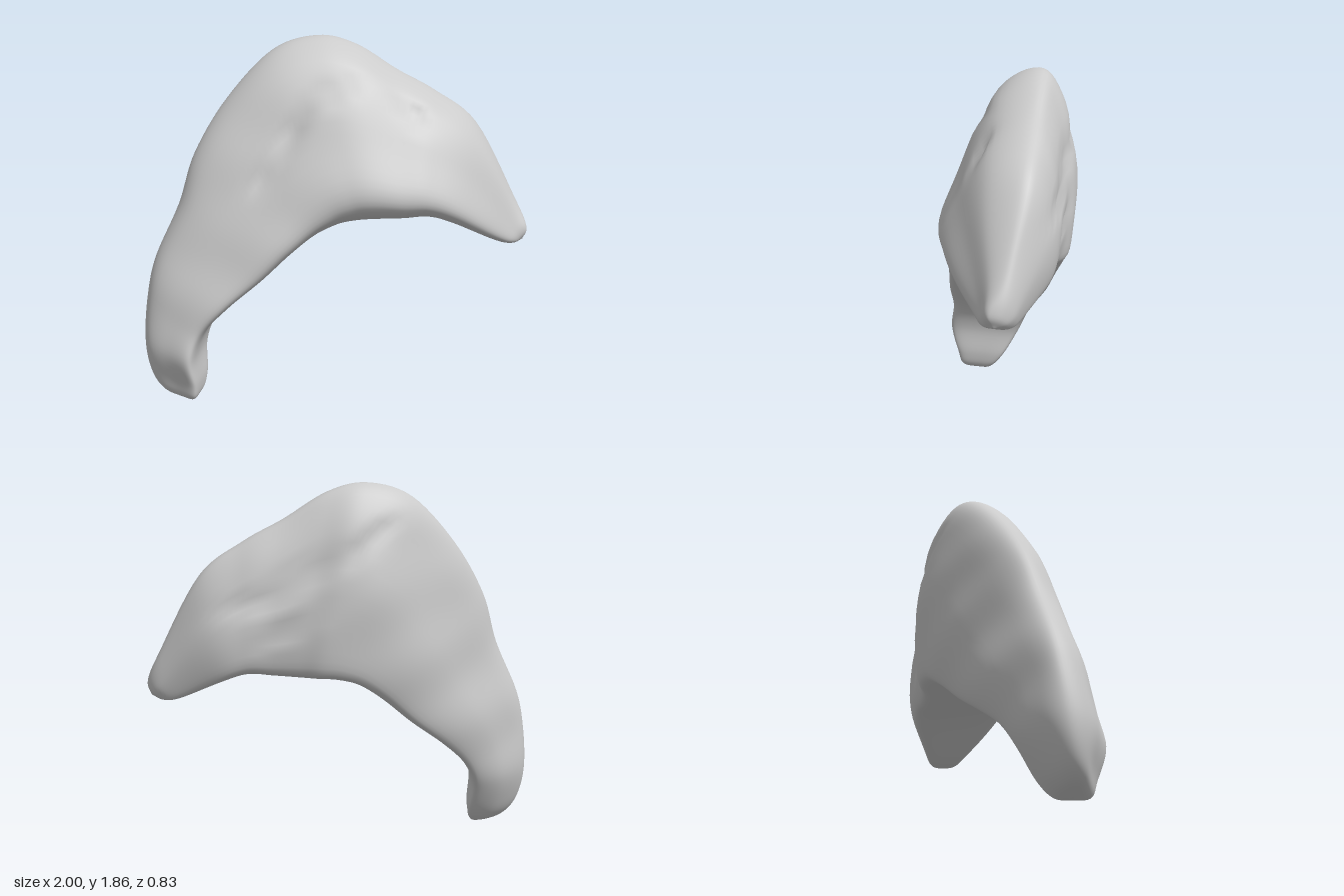
import * as THREE from 'three';
import { mergeVertices } from 'three/addons/utils/BufferGeometryUtils.js';

// Stations along the crescent, from the low tip over the crown to the high tip:
// outer x, y | inner x, y | z of the ridge, the front face, the back face |
// how far the back face slants forward towards the ridge
const STATIONS = [
  [-0.78, 0.00, -0.78, 0.00, 0.25, 0.25, 0.25, 0],
  [-0.90, 0.05, -0.71, 0.02, 0.25, 0.345, 0.17, 0],
  [-0.97, 0.15, -0.69, 0.10, 0.23, 0.375, 0.09, 0.02],
  [-1.00, 0.32, -0.70, 0.25, 0.20, 0.42, 0.00, 0.06],
  [-0.985, 0.55, -0.65, 0.38, 0.17, 0.40, -0.08, 0.13],
  [-0.94, 0.75, -0.52, 0.51, 0.14, 0.39, -0.18, 0.18],
  [-0.82, 1.02, -0.35, 0.64, 0.09, 0.36, -0.27, 0.20],
  [-0.74, 1.28, -0.20, 0.77, 0.03, 0.33, -0.35, 0.20],
  [-0.58, 1.55, -0.08, 0.85, -0.06, 0.30, -0.39, 0.14],
  [-0.35, 1.79, 0.03, 0.88, -0.15, 0.28, -0.41, 0.04],
  [-0.12, 1.86, 0.12, 0.885, -0.20, 0.27, -0.41, 0],
  [0.08, 1.815, 0.22, 0.89, -0.22, 0.26, -0.39, 0],
  [0.30, 1.68, 0.35, 0.90, -0.23, 0.23, -0.39, 0],
  [0.50, 1.57, 0.48, 0.91, -0.24, 0.19, -0.40, 0],
  [0.72, 1.40, 0.61, 0.87, -0.25, 0.12, -0.38, 0],
  [0.93, 1.01, 0.82, 0.78, -0.21, -0.04, -0.29, 0],
  [0.998, 0.86, 0.91, 0.765, -0.16, -0.10, -0.24, 0],
  [0.98, 0.785, 0.98, 0.785, -0.17, -0.17, -0.17, 0],
];

// Cross-section: position from ridge (0) to inner edge (1), then
// weights of the front and back z (the rest follows the ridge)
const SECTION = [
  [0, 0, 0], [0.11, 0.45, 0], [0.45, 0.78, 0], [0.74, 1, 0], [0.89, 0.88, 0.12],
  [0.97, 0.5, 0.5], [1, 0.15, 0.85], [0.9, 0.02, 0.98], [0.5, 0, 1], [0.13, 0, 0.58],
];

// Shallow grooves on the front and back: x, y, angle, length, width, depth, side
const GROOVES = [
  [-0.22, 1.40, 1.0, 0.16, 0.04, 0.04, 1],
  [-0.36, 1.18, 0.6, 0.10, 0.04, 0.025, 1],
  [0.02, 1.62, 0.2, 0.13, 0.035, 0.025, 1],
  [0.38, 1.50, -0.75, 0.11, 0.035, 0.04, 1],
  [0.10, 1.45, -0.3, 0.22, 0.03, 0.03, -1],
  [0.42, 1.28, -0.25, 0.20, 0.03, 0.03, -1],
  [0.25, 1.15, -0.4, 0.18, 0.03, 0.025, -1],
  [-0.15, 1.60, -0.5, 0.12, 0.04, 0.02, -1],
];

const spline = (points, closed = false) =>
  new THREE.CatmullRomCurve3(points.map((p) => new THREE.Vector3(...p)), closed, 'catmullrom', 0.5);

// Depth of the surface relief at a point
function relief(x, y, side) {
  let d = 0.006 * Math.sin(9 * x + 5 * y) * Math.sin(11 * y - 4 * x + side);
  for (const [gx, gy, a, length, width, depth, s] of GROOVES) {
    if (s !== side) continue;
    const along = ((x - gx) * Math.cos(a) + (y - gy) * Math.sin(a)) / length;
    const across = ((y - gy) * Math.cos(a) - (x - gx) * Math.sin(a)) / width;
    d += depth * Math.exp(-along * along - across * across);
  }
  return d;
}

function crescentGeometry() {
  const ridge = spline(STATIONS.map((s) => [s[0], s[1], s[4]]));
  const inner = spline(STATIONS.map((s) => [s[2], s[3], s[5]]));
  const back = spline(STATIONS.map((s) => [s[7], 0, s[6]]));
  const across = spline(SECTION, true);
  const rows = 119, cols = 60;
  const positions = [], index = [];
  for (let i = 0; i <= rows; i++) {
    const t = i / rows;
    const o = ridge.getPoint(t), n = inner.getPoint(t);
    const { x: slant, z: zb } = back.getPoint(t);
    const fade = Math.min(1, i / 12, (rows - i) / 12);
    // The front lip hangs lower along the long limb
    const lip = 0.24 * (1 - THREE.MathUtils.smoothstep(t, 0.42, 0.68));
    for (let j = 0; j < cols; j++) {
      const { x: s, y: f, z: b } = across.getPoint(j / cols);
      const u = s + lip * f * s * s * Math.sin(Math.PI * s);
      const x = o.x + (n.x - o.x) * u;
      const y = o.y + (n.y - o.y) * u;
      const z = o.z * (1 - f - b) + n.z * f + (zb + slant * (1 - u)) * b;
      const side = f > b ? 1 : -1;
      const flat = fade * Math.min(1, Math.abs(f - b) * 1.5);
      positions.push(x, y, z - side * flat * relief(x, y, side));
    }
  }
  for (let i = 0; i < rows; i++) {
    for (let j = 0; j < cols; j++) {
      const k = (j + 1) % cols;
      const a = i * cols + j, b = i * cols + k;
      const c = a + cols, d = b + cols;
      if (i > 0) index.push(a, b, c);
      if (i < rows - 1) index.push(b, d, c);
    }
  }
  let geometry = new THREE.BufferGeometry();
  geometry.setAttribute('position', new THREE.Float32BufferAttribute(positions, 3));
  geometry.setIndex(index);
  geometry = mergeVertices(geometry, 1e-5); // joins each tip into one vertex
  geometry.computeVertexNormals();
  return geometry;
}

export function createModel() {
  const group = new THREE.Group();
  group.name = 'crescentBone';
  const bone = new THREE.Mesh(crescentGeometry(), new THREE.MeshStandardMaterial({ color: 0xcccccc }));
  bone.name = 'boneBody';
  group.add(bone);
  return group;
}
